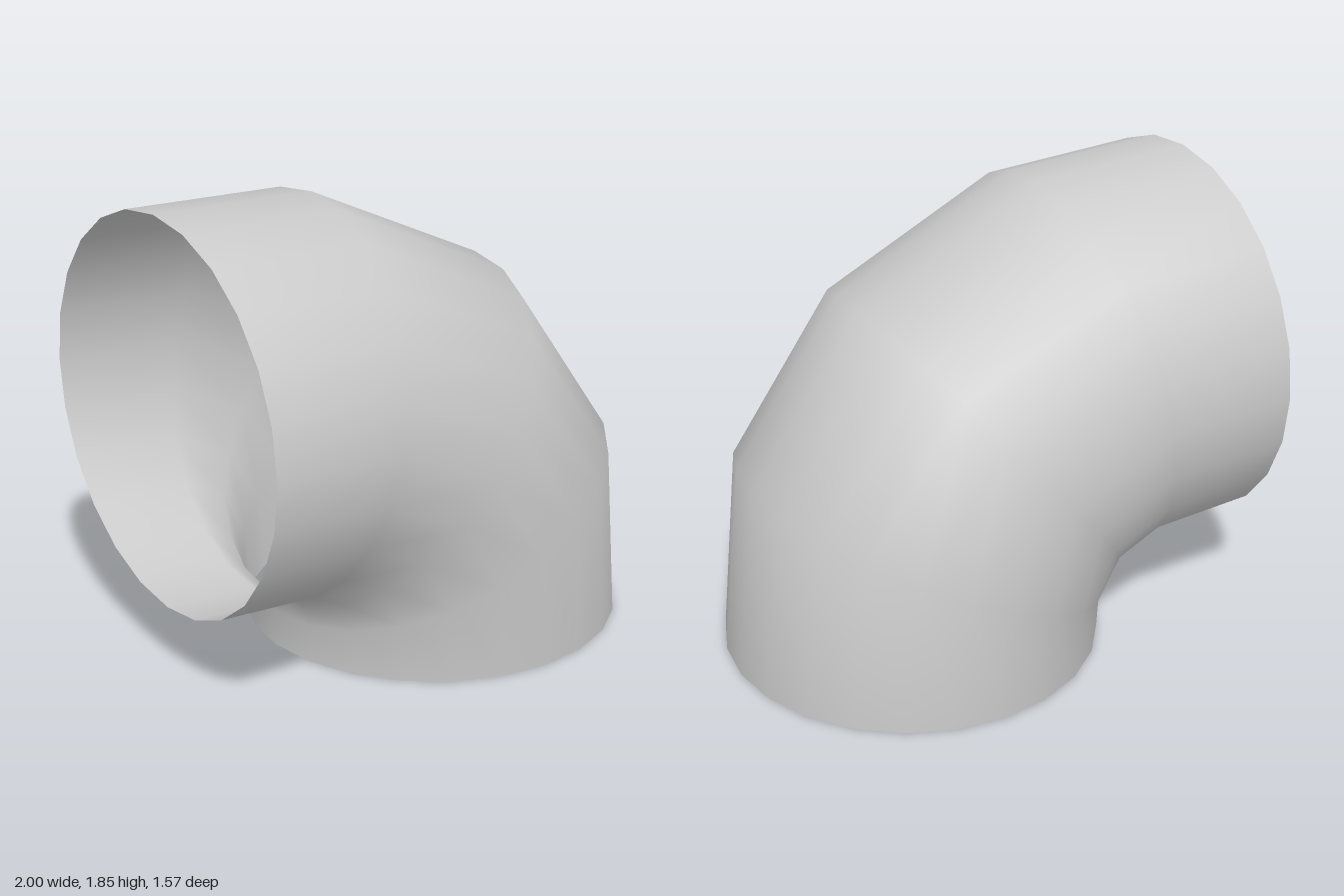
import * as THREE from 'three';

const SIDES = 24;

// Cross-sections along the bend: outer-bend point (x, y), inner-bend point (x, y), half depth in z
const RINGS = [
  [-1.0, 1.845, -1.0, 0.3, 0.786],
  [-0.323, 1.823, -0.617, 0.278, 0.786],
  [0.452, 1.455, -0.543, 0.24, 0.786],
  [0.914, 0.807, -0.511, 0.144, 0.786],
  [1.0, 0.0, -0.516, 0.0, 0.758],
];

// Open tube skinned over elliptical rings, smooth across the seam
function skinRings(rings, sides) {
  const positions = [];
  const indices = [];
  rings.forEach(([ox, oy, ix, iy, depth], r) => {
    for (let s = 0; s < sides; s++) {
      const angle = (s / sides) * Math.PI * 2;
      const t = (1 - Math.cos(angle)) / 2; // 0 at the outer bend, 1 at the inner bend
      positions.push(ox + (ix - ox) * t, oy + (iy - oy) * t, depth * Math.sin(angle));
      if (r === rings.length - 1) continue;
      const a = r * sides + s;
      const b = r * sides + ((s + 1) % sides);
      indices.push(a, b, a + sides, b, b + sides, a + sides);
    }
  });
  const geometry = new THREE.BufferGeometry();
  geometry.setAttribute('position', new THREE.Float32BufferAttribute(positions, 3));
  geometry.setIndex(indices);
  geometry.computeVertexNormals();
  return geometry;
}

export function createModel() {
  const group = new THREE.Group();
  group.name = 'pipeElbow';

  // Thin-walled elbow, open at both ends
  const material = new THREE.MeshStandardMaterial({ color: 0xcccccc, side: THREE.DoubleSide });
  const elbow = new THREE.Mesh(skinRings(RINGS, SIDES), material);
  elbow.name = 'elbowPipe';
  group.add(elbow);

  return group;
}
